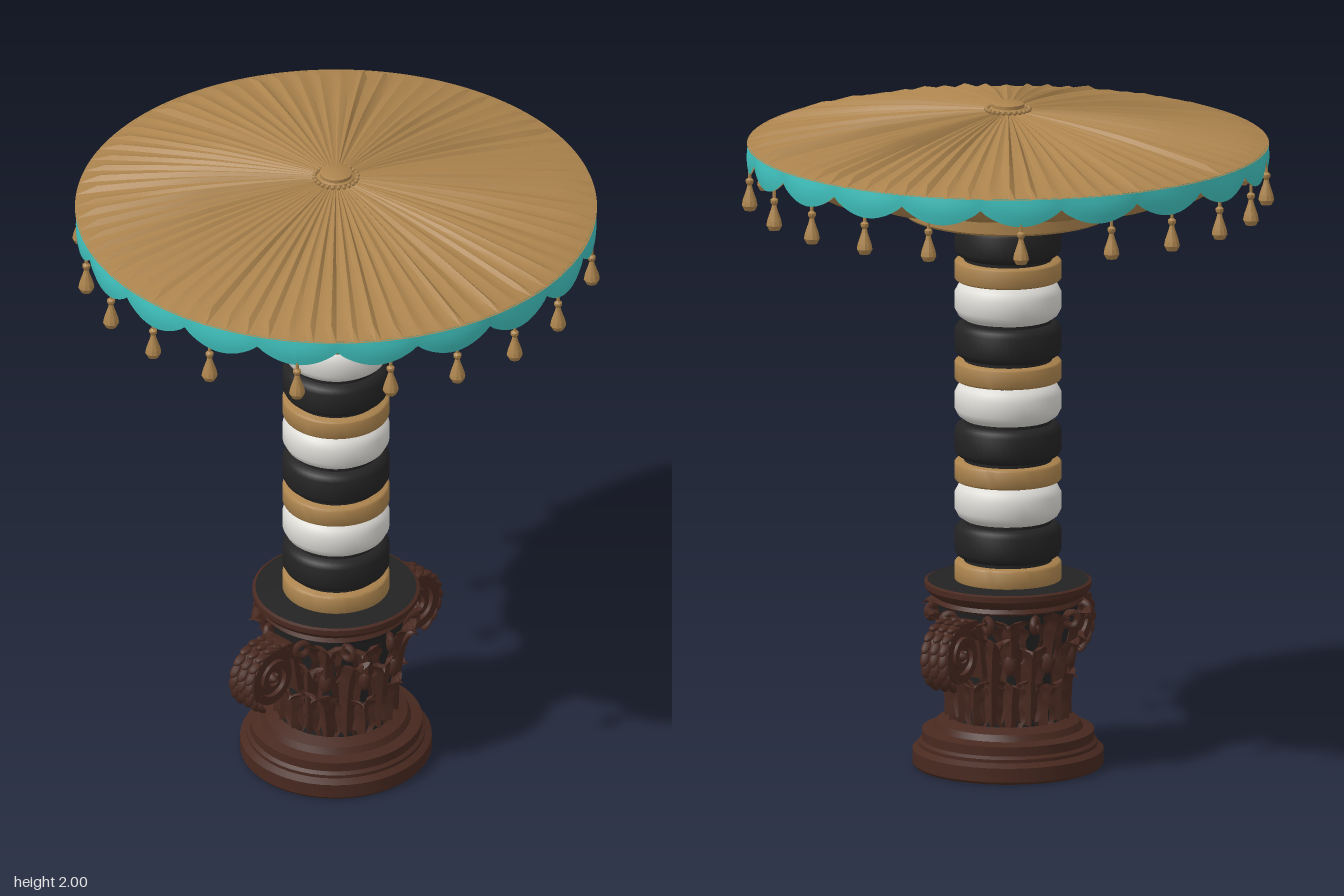
import * as THREE from 'three';
import { toCreasedNormals } from 'three/addons/utils/BufferGeometryUtils.js';

const material = (name, color, side = THREE.DoubleSide) =>
  new THREE.MeshStandardMaterial({ name, color, side });
const gold = material('gold', 0xab834d);
const teal = material('turquoise', 0x3fc0bc, THREE.FrontSide);
const brown = material('carved wood', 0x482920);
const black = material('black', 0x232323);
const white = material('white', 0xdddbd6);

const TAU = Math.PI * 2;

function add(parent, name, geometry, mat) {
  const mesh = new THREE.Mesh(geometry, mat);
  mesh.name = name;
  parent.add(mesh);
  return mesh;
}

// Turned part from [radius, height] pairs, bottom to top
function turned(points, segments = 48) {
  const profile = points.map(([r, y]) => new THREE.Vector2(r, y));
  return toCreasedNormals(new THREE.LatheGeometry(profile, segments), 0.6);
}

// Surface from a rule fn(u, v) -> [x, y, z], u and v from 0 to 1
function sheet(nu, nv, fn) {
  const pos = [], index = [];
  for (let j = 0; j <= nv; j++)
    for (let i = 0; i <= nu; i++) pos.push(...fn(i / nu, j / nv));
  for (let j = 0; j < nv; j++)
    for (let i = 0; i < nu; i++) {
      const a = j * (nu + 1) + i, b = a + nu + 1;
      index.push(a, a + 1, b, a + 1, b + 1, b);
    }
  const g = new THREE.BufferGeometry();
  g.setAttribute('position', new THREE.Float32BufferAttribute(pos, 3));
  g.setIndex(index);
  g.computeVertexNormals();
  return g;
}

const polar = (r, a, y) => [r * Math.sin(a), y, r * Math.cos(a)];

let seed = 7;
const random = () => (seed = (seed * 16807) % 2147483647) / 2147483647;

// Carved pedestal -------------------------------------------------------
const coreRadius = (y) => 0.163 + 0.05 * Math.pow(Math.max(0, (y - 0.14) / 0.36), 2);

function leafGeometry(angle, y0, height, halfWidth, curl, lean) {
  return toCreasedNormals(sheet(8, 14, (u, v) => {
    const s = u * 2 - 1;
    const lobes = 0.74 + 0.36 * Math.abs(Math.sin(v * Math.PI * 4));
    const w = halfWidth * lobes * Math.sqrt(Math.max(0, 1 - Math.pow(v, 3))) * (0.75 + 0.4 * v);
    const y = y0 + height * Math.sin(v * 1.95) + Math.abs(s) * 0.012;
    const ribs = 0.012 * Math.cos(s * Math.PI * 2) * (1 - v * 0.5);
    const r = coreRadius(y) + 0.012 + curl * Math.pow(v, 3) + ribs - 0.012 * s * s;
    return polar(r, angle + lean * v * v + (s * w) / r, y);
  }), 0.7);
}

function voluteGeometry() {
  const outer = [[0.13, 0.3], [0.17, 0.44], [0.23, 0.482]];
  const inner = [[0.2, 0.3], [0.22, 0.42], [0.25, 0.45]];
  for (let i = 0; i <= 44; i++) {
    const t = i / 44, a = Math.PI / 2 - t * TAU * 1.9;
    const r = 0.1 * (1 - 0.82 * t), thick = 0.03 * (1 - 0.55 * t);
    outer.push([0.295 + r * Math.cos(a), 0.383 + r * Math.sin(a)]);
    inner.push([0.295 + (r - thick) * Math.cos(a), 0.383 + (r - thick) * Math.sin(a)]);
  }
  const pts = outer.concat(inner.reverse()).map(([x, y]) => new THREE.Vector2(x, y));
  const g = new THREE.ExtrudeGeometry(new THREE.Shape(pts), { depth: 0.09, bevelEnabled: false });
  return toCreasedNormals(g.translate(0, 0, -0.045), 0.6);
}

function buildPedestal() {
  const group = new THREE.Group();
  group.name = 'pedestal';
  const base = add(group, 'plinth', turned([[0, 0], [0.28, 0], [0.287, 0.008], [0.287, 0.05],
    [0.268, 0.062], [0.268, 0.072], [0.258, 0.08], [0.258, 0.108], [0.225, 0.116],
    [0.215, 0.135], [0.18, 0.15]]), brown);
  base.scale.set(0.985, 1, 1.02);

  const core = [];
  for (let i = 0; i <= 13; i++) core.push([coreRadius(0.12 + i * 0.03), 0.12 + i * 0.03]);
  add(group, 'pedestalCore', turned(core), black);
  add(group, 'abacus', turned([[0.2, 0.485], [0.222, 0.5], [0.215, 0.512], [0.235, 0.525],
    [0.247, 0.54], [0.247, 0.556], [0.238, 0.56]]), brown);
  add(group, 'abacusTop', turned([[0.238, 0.559], [0.15, 0.561]]), black);

  // Three staggered tiers of leaves, each leaf a little different
  const tiers = [[0.13, 0.15, 0.052, 0.03], [0.15, 0.25, 0.055, 0.04], [0.33, 0.15, 0.058, 0.045]];
  tiers.forEach(([y0, h, w, curl], tier) => {
    for (let i = 0; i < 10; i++) {
      const angle = ((i + (tier % 2) / 2) / 10) * TAU;
      const lean = (random() - 0.5) * 0.4, size = 0.88 + 0.2 * random();
      add(group, 'leaf', leafGeometry(angle, y0, h * size, w, curl * size, lean), brown);
    }
  });

  // Small curls and buds between the leaf tips
  for (let i = 0; i < 10; i++) {
    const a = ((i + 0.5) / 10) * TAU;
    const curl = add(group, 'curl', new THREE.TorusGeometry(0.02, 0.011, 6, 14), brown);
    curl.position.set(...polar(0.224, a, 0.465));
    curl.rotation.y = a + (i % 2 ? 0.9 : -0.9);
    const bud = add(group, 'bud', new THREE.SphereGeometry(0.02, 8, 6), brown);
    bud.position.set(...polar(0.188, a + 0.3, 0.34));
    bud.scale.y = 1.8;
  }

  // Two large scrolls on opposite sides
  const scroll = voluteGeometry();
  for (const turn of [0, Math.PI]) {
    const volute = new THREE.Group();
    volute.name = 'volute';
    volute.rotation.y = Math.atan2(-0.8, -0.6) + turn;
    group.add(volute);
    add(volute, 'scroll', scroll, brown);
    const web = add(volute, 'scrollWeb', new THREE.CylinderGeometry(0.084, 0.084, 0.06, 24), brown);
    web.position.set(0.295, 0.383, 0);
    web.rotation.x = Math.PI / 2;
    const eye = add(volute, 'scrollEye', new THREE.SphereGeometry(0.022, 12, 8), brown);
    eye.position.set(0.295, 0.383, 0);
    eye.scale.z = 2.4;
    // Overlapping fronds along the back of the scroll
    for (let i = 0; i < 10; i++) {
      const a = 2.2 - i * 0.36;
      for (const side of [-1, 0, 1]) {
        const frond = add(volute, 'frond', new THREE.SphereGeometry(0.013, 8, 6), brown);
        frond.position.set(0.295 + 0.097 * Math.cos(a), 0.383 + 0.097 * Math.sin(a), side * 0.032);
        frond.rotation.z = a + 0.35;
        frond.scale.set(0.8, 2, 1.2);
      }
    }
  }
  return group;
}

// Banded column ---------------------------------------------------------
function band(y0, y1, bevel, inset) {
  const r = 0.158;
  return turned([[0, y0], [r - inset, y0], [r - inset * 0.35, y0 + bevel * 0.4], [r, y0 + bevel],
    [r, y1 - bevel], [r - inset * 0.35, y1 - bevel * 0.4], [r - inset, y1], [0, y1]]);
}

function buildColumn() {
  const group = new THREE.Group();
  group.name = 'column';
  add(group, 'columnCore', new THREE.CylinderGeometry(0.13, 0.13, 1.14, 32), black)
    .position.y = 1.12;
  for (let i = 0; i < 4; i++) {
    const y = 0.557 + i * 0.303;
    add(group, 'goldBand', band(y, y + 0.06, 0.006, 0.006), gold);
    add(group, 'blackBand', band(y + 0.071, y + 0.176, 0.022, 0.02), black);
    if (i < 3) add(group, 'whiteBand', band(y + 0.184, y + 0.299, 0.034, 0.03), white);
  }
  const drum = add(group, 'drum', turned([[0, 1.675], [0.2, 1.675], [0.2, 1.668], [0.318, 1.668],
    [0.323, 1.674], [0.323, 1.81]], 64), gold);
  drum.scale.set(0.96, 1, 1.04);
  return group;
}

// Pleated canopy --------------------------------------------------------

// Hanging scalloped strip, slightly bulged
function scallopedStrip(radius) {
  return sheet(320, 4, (u, v) => {
    const a = u * TAU, scallop = Math.abs(Math.cos(a * 10));
    const bottom = 1.842 - 0.048 * Math.pow(scallop, 0.8);
    const bulge = 0.006 * scallop * Math.sin(v * Math.PI);
    return polar(radius + bulge, a, bottom + (1.878 - bottom) * v);
  });
}

function buildCanopy() {
  const group = new THREE.Group();
  group.name = 'canopy';

  // Four steps per fold, with uneven crest heights
  const folds = 72, steps = folds * 4;
  const crest = Array.from({ length: steps }, (_, i) =>
    [0, 0.3, 1, 0.1][i % 4] * (0.35 + 0.65 * random()));
  add(group, 'pleatedTop', toCreasedNormals(sheet(steps, 12, (u, v) => {
    const i = Math.round(u * steps) % steps;
    const r = 0.77 - 0.74 * v;
    const fade = Math.min(1, (0.77 - r) * 16) * Math.min(1, r * 2.5);
    const y = 1.876 + 0.1 * (1 - Math.pow(r / 0.77, 1.4)) + 0.015 * crest[i] * fade;
    return polar(r, u * TAU, y);
  }), 0.4), gold);

  // Padded underside, gathered in soft scallops near the rim
  add(group, 'underside', sheet(240, 16, (u, v) => {
    const a = u * TAU, r = 0.762 - 0.48 * v * v;
    const inward = Math.min(1, (0.762 - r) / 0.12);
    const gather = 0.012 * Math.abs(Math.sin(a * 10)) * Math.sin(inward * Math.PI);
    return polar(r, a, 1.79 + 0.072 * Math.pow(1 - inward, 2) - gather);
  }), gold);

  add(group, 'valance', scallopedStrip(0.766), teal);
  add(group, 'valanceLining', scallopedStrip(0.762), gold);

  // Finial with a ring of gathered studs
  add(group, 'finial', turned([[0.055, 1.97], [0.055, 1.982], [0.048, 1.986], [0.048, 1.996],
    [0.04, 2], [0, 2]], 24), gold);
  for (let i = 0; i < 24; i++)
    add(group, 'stud', new THREE.SphereGeometry(0.007, 6, 5), gold)
      .position.set(...polar(0.064, (i / 24) * TAU, 1.98));

  // Hanging tassels
  const drop = turned([[0, 1.68], [0.016, 1.682], [0.024, 1.697], [0.021, 1.713], [0.01, 1.745],
    [0.007, 1.758], [0.012, 1.766], [0.012, 1.774], [0.005, 1.78], [0.005, 1.815]], 10);
  for (let quarter = 0; quarter < 4; quarter++)
    for (const degrees of [0, 21, 37, 53, 69]) {
      const a = THREE.MathUtils.degToRad(degrees + quarter * 90);
      add(group, 'tassel', drop, gold).position.set(...polar(degrees ? 0.754 : 0.763, a, 0));
    }
  return group;
}

export function createModel() {
  const model = new THREE.Group();
  model.name = 'parasolColumn';
  model.add(buildPedestal(), buildColumn(), buildCanopy());
  return model;
}
